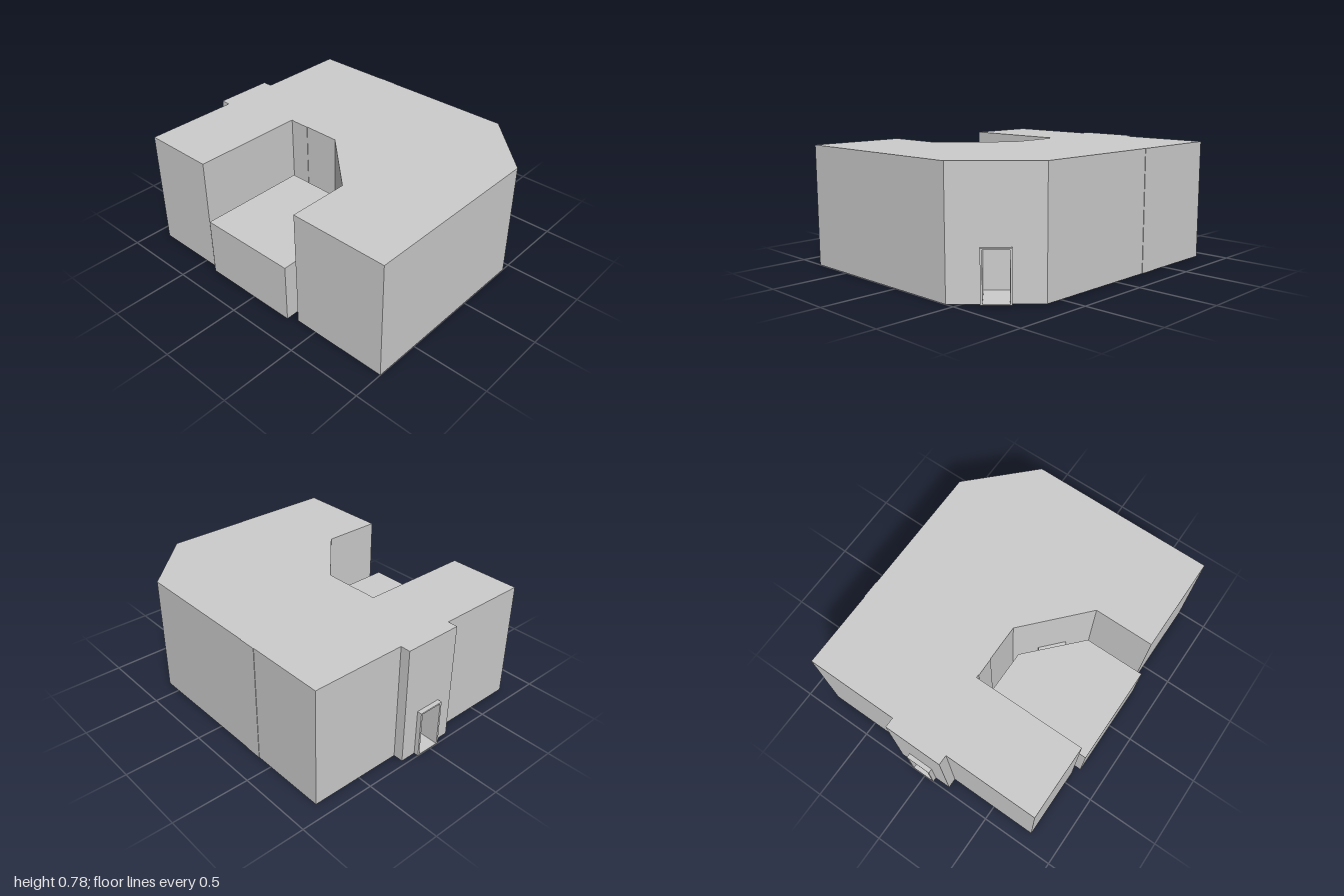
import * as THREE from 'three';

export function createModel() {
  const model = new THREE.Group();
  const grey = new THREE.MeshStandardMaterial({ color: 0xcccccc });
  grey.name = 'plain grey';

  function add(name, geometry, parent = model) {
    const mesh = new THREE.Mesh(geometry, grey);
    mesh.name = name;
    parent.add(mesh);
    return mesh;
  }

  // Upright prism from a plan outline of [x, z] points
  function prism(name, plan, y0, y1) {
    const shape = new THREE.Shape(plan.map(([x, z]) => new THREE.Vector2(x, -z)));
    const geometry = new THREE.ExtrudeGeometry(shape, { depth: y1 - y0, bevelEnabled: false });
    geometry.rotateX(-Math.PI / 2);
    geometry.translate(0, y0, 0);
    return add(name, geometry);
  }

  // Box given by its limits
  function block(name, x0, x1, y0, y1, z0, z1, parent) {
    const geometry = new THREE.BoxGeometry(x1 - x0, y1 - y0, z1 - z0);
    geometry.translate((x0 + x1) / 2, (y0 + y1) / 2, (z0 + z1) / 2);
    return add(name, geometry, parent);
  }

  // Doorways: centre on the wall, direction along the wall, how far the frame stands out
  const half = 0.075, doorTop = 0.305, depth = 0.26;
  const r = Math.SQRT1_2;
  const cornerDoor = { c: [0.806, -0.632], t: [r, r], out: 0.021 };
  const sideDoor = { c: [-0.97, -0.017], t: [0, -1], out: 0.03 };

  // Plan of the recess behind a doorway
  function recess({ c, t }) {
    const n = [t[1], -t[0]];
    return [[-half, 0], [-half, depth], [half, depth], [half, 0]].map(([a, d]) => [
      c[0] + a * t[0] - d * n[0], c[1] + a * t[1] - d * n[1],
    ]);
  }

  // Main building, with the doorways cut into the lower storey
  const outline = (corner, side) => [
    [-0.905, -0.827], [0.611, -0.827], ...corner, [1, -0.438], [1, 0.8],
    [0.355, 0.8], [0.355, 0.405], [-0.035, 0.05], [-0.42, 0.05], [-0.42, 0.8],
    [-0.905, 0.8], [-0.905, 0.18], [-0.97, 0.18], ...side, [-0.97, -0.21], [-0.905, -0.21],
  ];
  prism('lowerBody', outline(recess(cornerDoor), recess(sideDoor)), 0, doorTop);
  prism('upperBody', outline([], []), doorTop, 0.78);

  // Door frames and thresholds
  function doorway(name, { c, t, out }) {
    const group = new THREE.Group();
    group.name = name;
    group.position.set(c[0], 0, c[1]);
    group.rotation.y = Math.atan2(t[1], -t[0]);
    for (const s of [-1, 1]) {
      const xs = [s * half, s * 0.0875].sort((a, b) => a - b);
      block('doorJamb', xs[0], xs[1], 0, doorTop, 0, out, group);
    }
    block('doorLintel', -0.0875, 0.0875, doorTop, 0.315, 0, out, group);
    block('doorFloor', -half, half, 0, 0.005, -depth, out, group);
    model.add(group);
  }
  doorway('cornerDoorway', cornerDoor);
  doorway('sideDoorway', sideDoor);

  // Low block standing in the front courtyard
  prism('courtyardBlock', [
    [-0.37, 0.1], [-0.045, 0.1], [0.3, 0.42], [0.3, 0.835], [-0.37, 0.835],
  ], 0.005, 0.395);

  // Links between the low block and the main building
  prism('diagonalLink', [[0.055, 0.205], [0.095, 0.165], [0.235, 0.292], [0.195, 0.33]], 0, 0.315);
  block('sideLink', -0.42, -0.37, 0.11, 0.32, 0.18, 0.74);

  // Shallow upright strips on the back wall and courtyard wall
  block('backStrip', -0.39, -0.27, 0, 0.78, -0.83, -0.827);
  block('courtyardStrip', -0.4, -0.28, 0, 0.78, 0.05, 0.053);

  return model;
}
